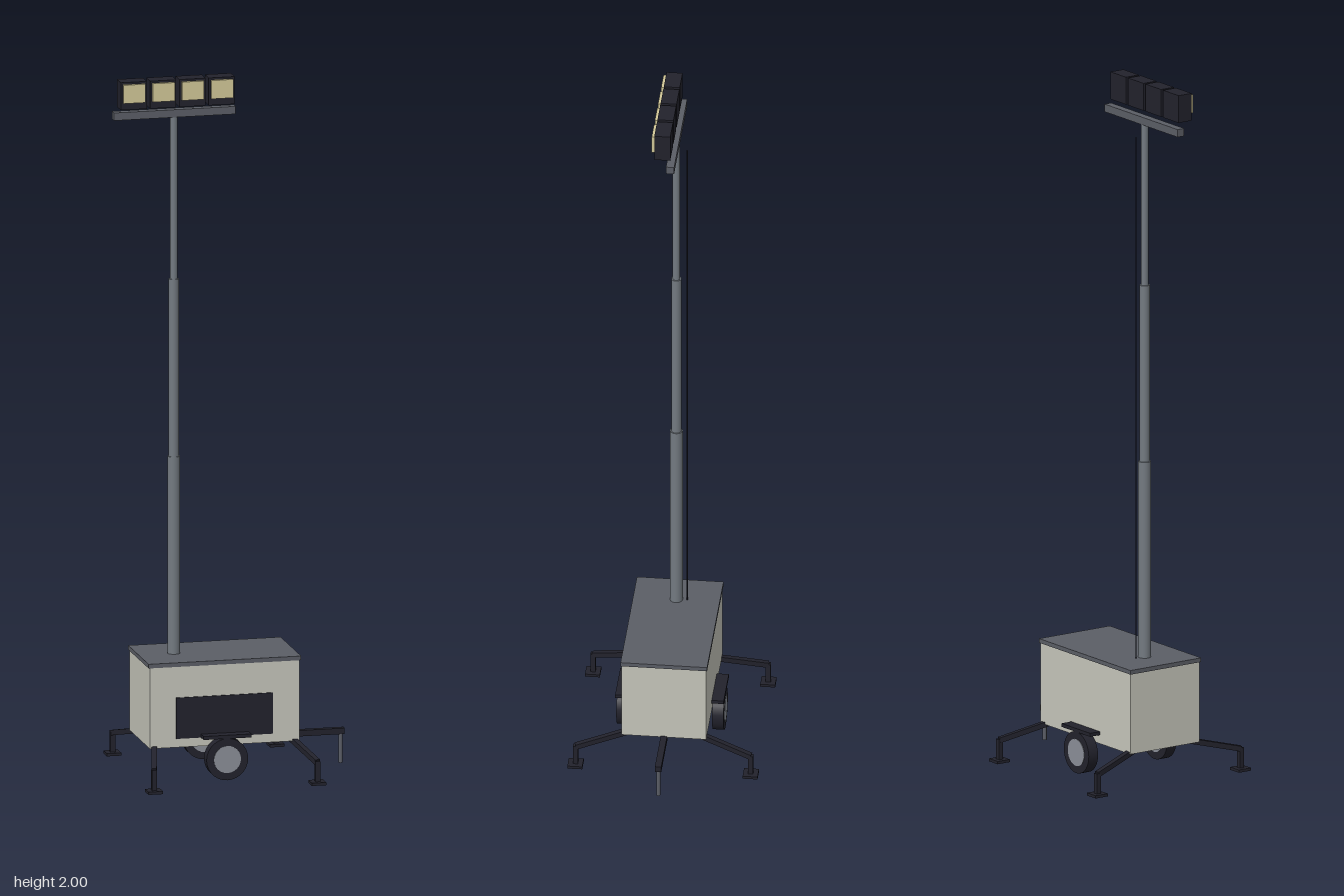
import * as THREE from 'three';

const mat = (name, color, extra = {}) => {
  const m = new THREE.MeshStandardMaterial({ color, ...extra });
  m.name = name;
  return m;
};

export function createModel() {
  const model = new THREE.Group();
  model.name = 'lightTower';
  const cream = mat('cream paint', 0xc6c6bb);
  const grey = mat('dark grey steel', 0x5b5e66);
  const steel = mat('mast steel', 0x737a81);
  const hubGrey = mat('hub grey', 0x8b8f98);
  const black = mat('black', 0x22222c);
  const lensYellow = mat('lens yellow', 0xd2c898);

  const add = (name, geo, material, x, y, z, parent = model) => {
    const mesh = new THREE.Mesh(geo, material);
    mesh.name = name;
    mesh.position.set(x, y, z);
    parent.add(mesh);
    return mesh;
  };
  // Box from its minimum and maximum corners
  const box = (name, material, [x0, y0, z0], [x1, y1, z1], parent) =>
    add(name, new THREE.BoxGeometry(x1 - x0, y1 - y0, z1 - z0), material,
      (x0 + x1) / 2, (y0 + y1) / 2, (z0 + z1) / 2, parent);
  // Square bar between two points
  const bar = (name, material, a, b, size, parent) => {
    const from = new THREE.Vector3(...a), to = new THREE.Vector3(...b);
    const mesh = add(name, new THREE.BoxGeometry(size, size, from.distanceTo(to)), material, 0, 0, 0, parent);
    mesh.position.copy(from).add(to).multiplyScalar(0.5);
    mesh.lookAt(to);
    return mesh;
  };

  // Cabinet, lid and front access panel
  box('cabinet', cream, [-0.256, 0.097, -0.119], [0.176, 0.33, 0.119]);
  box('lid', grey, [-0.26, 0.329, -0.122], [0.18, 0.341, 0.122]);
  box('accessPanel', black, [-0.18, 0.122, 0.118], [0.098, 0.24, 0.122]);

  // Wheels and fenders
  for (const s of [1, -1]) {
    const wheel = new THREE.Group();
    wheel.name = s > 0 ? 'frontWheel' : 'backWheel';
    wheel.position.set(-0.04, 0.062, s * 0.135);
    model.add(wheel);
    const tyre = add('tyre', new THREE.CylinderGeometry(0.06, 0.06, 0.032, 28), black, 0, 0, 0, wheel);
    const hub = add('hub', new THREE.CylinderGeometry(0.039, 0.039, 0.035, 24), hubGrey, 0, 0, 0, wheel);
    tyre.rotation.x = hub.rotation.x = Math.PI / 2;
    const fender = box('fender', black, [-0.109, 0.122, -0.018], [0.029, 0.132, 0.018]);
    fender.position.z = s * 0.135;
  }

  // Four outriggers: sloping arm, upright post and foot pad
  for (const [hipX, footX] of [[-0.238, -0.275], [0.158, 0.196]]) {
    for (const s of [1, -1]) {
      const leg = new THREE.Group();
      leg.name = 'outrigger';
      model.add(leg);
      bar('arm', black, [hipX, 0.1, s * 0.1], [footX, 0.063, s * 0.247], 0.015, leg);
      box('post', black, [footX - 0.007, 0, s * 0.247 - 0.007], [footX + 0.007, 0.066, s * 0.247 + 0.007], leg);
      box('footPad', black, [footX - 0.021, 0, s * 0.247 - 0.021], [footX + 0.021, 0.008, s * 0.247 + 0.021], leg);
    }
  }

  // Drawbar and its jack
  box('drawbar', black, [0.17, 0.083, -0.009], [0.333, 0.1, 0.009]);
  add('jack', new THREE.CylinderGeometry(0.006, 0.006, 0.09, 12), grey, 0.323, 0.045, 0);

  // Telescoping mast
  const mastX = -0.158;
  for (const [r, y0, y1] of [[0.018, 0.34, 0.908], [0.0145, 0.9, 1.418], [0.0105, 1.41, 1.89]]) {
    add('mastSection', new THREE.CylinderGeometry(r, r, y1 - y0, 20), steel, mastX, (y0 + y1) / 2, 0);
  }
  add('mastCable', new THREE.CylinderGeometry(0.002, 0.002, 1.51, 6), black, mastX, 1.095, -0.03);

  // Crossbar with four floodlights
  box('crossbar', grey, [-0.333, 1.884, -0.012], [0.018, 1.906, 0.011]);
  for (let i = 0; i < 4; i++) {
    const x = -0.284 + i * 0.0845;
    box('lampHousing', black, [x - 0.0375, 1.921, 0], [x + 0.0375, 2, 0.045]);
    box('lampLens', lensYellow, [x - 0.0315, 1.941, 0.044], [x + 0.0315, 1.994, 0.053]);
  }
  return model;
}
